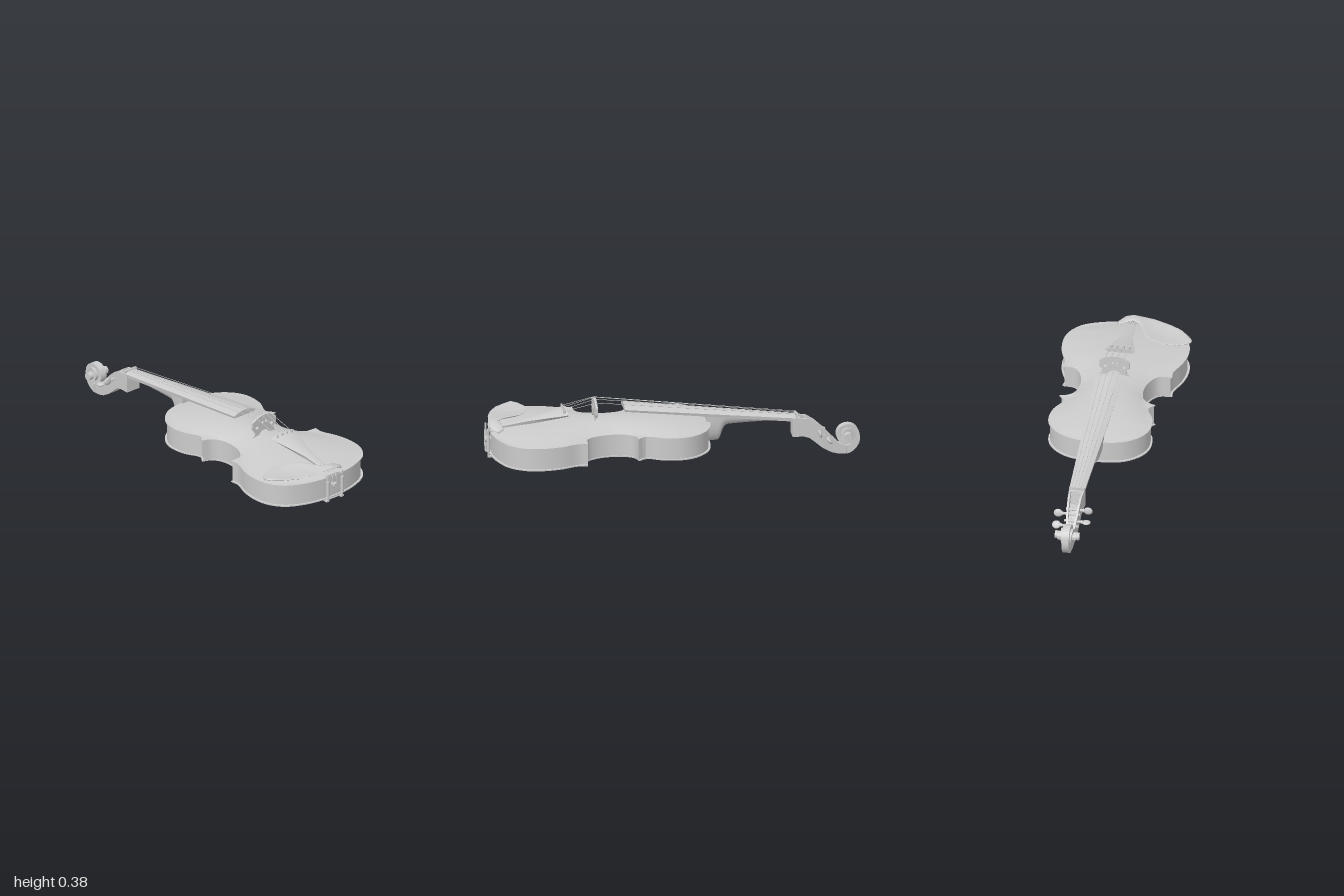
import * as THREE from 'three';
import { toCreasedNormals } from 'three/addons/utils/BufferGeometryUtils.js';

const material = new THREE.MeshStandardMaterial({ color: 0xcccccc, side: THREE.DoubleSide });
const V = (x, y, z) => new THREE.Vector3(x, y, z);

// Piecewise linear lookup in a table of [key, value], keys ascending
function at(table, k) {
  if (k <= table[0][0]) return table[0][1];
  for (let i = 1; i < table.length; i++) {
    const [k0, v0] = table[i - 1], [k1, v1] = table[i];
    if (k <= k1) return v0 + (v1 - v0) * (k - k0) / (k1 - k0);
  }
  return table[table.length - 1][1];
}

const steps = (a, b, n) => Array.from({ length: n + 1 }, (_, i) => a + (b - a) * i / n);

// Closed solid through a row of rings with equal point counts, facing outwards
function loft(rings, crease = 0.6) {
  const n = rings[0].length, points = rings.flat(), index = [];
  for (let i = 0; i < rings.length - 1; i++) for (let j = 0; j < n; j++) {
    const a = i * n + j, b = i * n + (j + 1) % n;
    index.push(a, b, a + n, b, b + n, a + n);
  }
  for (const end of [0, rings.length - 1]) {
    const mid = rings[end].reduce((s, p) => s.add(p), V(0, 0, 0)).divideScalar(n);
    const c = points.push(mid) - 1;
    for (let j = 0; j < n; j++) {
      const a = end * n + j, b = end * n + (j + 1) % n;
      index.push(...(end ? [c, a, b] : [c, b, a]));
    }
  }
  let volume = 0;
  for (let i = 0; i < index.length; i += 3) {
    const [a, b, c] = [0, 1, 2].map(k => points[index[i + k]]);
    volume += a.dot(b.clone().cross(c));
  }
  if (volume < 0) index.reverse();
  const g = new THREE.BufferGeometry().setFromPoints(points);
  g.setIndex(index);
  return toCreasedNormals(g, crease);
}

export function createModel() {
  const model = new THREE.Group();
  model.name = 'violin';
  const add = (name, geometry, parent = model) => {
    const mesh = new THREE.Mesh(geometry, material);
    mesh.name = name;
    parent.add(mesh);
    return mesh;
  };
  const box = (name, w, h, d, x, y, z) => add(name, new THREE.BoxGeometry(w, h, d).translate(x, y, z));
  const rod = (name, a, b, r, sides = 12, parent = model) => {
    const mesh = add(name, new THREE.CylinderGeometry(r, r, a.distanceTo(b), sides), parent);
    mesh.position.copy(a).lerp(b, 0.5);
    mesh.quaternion.setFromUnitVectors(V(0, 1, 0), b.clone().sub(a).normalize());
    return mesh;
  };

  // Half outline of the body: upper bout, waist, lower bout
  const bouts = [
    [[0, -0.202], [0.09, -0.195], [0.165, -0.172], [0.23, -0.12], [0.266, -0.06], [0.276, 0], [0.265, 0.08], [0.228, 0.165], [0.258, 0.21]],
    [[0.258, 0.21], [0.21, 0.228], [0.18, 0.27], [0.17, 0.34], [0.185, 0.42], [0.225, 0.48], [0.295, 0.49]],
    [[0.295, 0.49], [0.292, 0.54], [0.325, 0.63], [0.339, 0.73], [0.325, 0.82], [0.27, 0.9], [0.17, 0.95], [0.08, 0.97], [0, 0.975]],
  ];
  const outline = bouts.flatMap((pts, i) =>
    new THREE.CatmullRomCurve3(pts.map(([x, z]) => V(x, 0, z))).getPoints(24).slice(i ? 1 : 0));
  const smoothWidth = [[-0.2, 0.1], [-0.12, 0.22], [0, 0.27], [0.1, 0.245], [0.2, 0.205], [0.34, 0.165], [0.46, 0.2], [0.6, 0.295], [0.73, 0.335], [0.85, 0.31], [0.97, 0.1]];

  // Arched plates: a thin rim that swells towards the middle
  const plate = (rimY, rise, thickness) => loft(outline.map(p => {
    const width = Math.max(Math.min(p.x, at(smoothWidth, p.z)), 0.001);
    const long = Math.max(0, 1 - Math.abs((p.z - 0.385) / 0.59) ** 3);
    const ring = steps(-1, 1, 20).map(t => {
      const across = Math.max(0, 1 - (t * p.x / width) ** 2);
      return V(t * p.x, rimY + rise * long * across, p.z);
    });
    ring.push(V(p.x, rimY - thickness, p.z), V(-p.x, rimY - thickness, p.z));
    return ring;
  }));
  add('topPlate', plate(0.226, 0.042, 0.006));
  add('backPlate', plate(0.101, -0.026, -0.006));
  add('ribs', loft(outline.map(p => {
    const x = p.x * 0.965, z = 0.385 + (p.z - 0.385) * 0.983;
    return [V(-x, 0.104, z), V(-x, 0.223, z), V(x, 0.223, z), V(x, 0.104, z)];
  })));

  // Fingerboard with a rounded playing face
  const boardTop = z => 0.23 + (z + 0.66) * 0.125;
  const boardWidth = z => 0.042 + (z + 0.66) * 0.036;
  add('fingerboard', loft(steps(-0.66, 0.26, 8).map(z => {
    const w = boardWidth(z), y = boardTop(z);
    const ring = steps(-1, 1, 10).map(t => V(t * w, y - 0.25 * w * t * t, z));
    return [...ring, V(w * 0.95, y - 0.03, z), V(-w * 0.95, y - 0.03, z)];
  })));
  box('nut', 0.08, 0.018, 0.012, 0, 0.226, -0.664);

  // Neck with its heel
  const neckBottom = [[-0.645, 0.19], [-0.62, 0.2], [-0.5, 0.207], [-0.33, 0.2], [-0.29, 0.196], [-0.272, 0.18], [-0.262, 0.15], [-0.255, 0.12], [-0.245, 0.11], [-0.18, 0.106]];
  add('neck', loft(steps(-0.665, -0.18, 50).map(z => {
    const w = boardWidth(z) * 0.92, top = boardTop(z) - 0.018, h = top - at(neckBottom, z);
    return steps(0, Math.PI, 14).map(a => V(w * Math.cos(a), top - h * Math.sin(a) ** 0.8, z));
  }), 0.9));

  // Pegbox: a trough that closes at both ends
  const boxTop = [[-0.93, 0.045], [-0.89, 0.06], [-0.85, 0.1], [-0.8, 0.152], [-0.76, 0.188], [-0.72, 0.212], [-0.64, 0.222]];
  const boxBottom = [[-0.93, 0.001], [-0.89, 0.003], [-0.85, 0.015], [-0.8, 0.045], [-0.76, 0.08], [-0.73, 0.105], [-0.7, 0.115], [-0.64, 0.117]];
  const boxWidth = [[-0.93, 0.019], [-0.86, 0.024], [-0.8, 0.032], [-0.64, 0.043]];
  const trough = [[-0.86, 0], [-0.845, 0.045], [-0.76, 0.075], [-0.69, 0.075], [-0.68, 0]];
  add('pegbox', loft(steps(-0.93, -0.64, 58).map(z => {
    const w = at(boxWidth, z), t = at(boxTop, z), b = at(boxBottom, z), i = w - 0.011, f = t - at(trough, z);
    return [V(-w, b, z), V(-w, t, z), V(-i, t, z), V(-i, f, z), V(i, f, z), V(i, t, z), V(w, t, z), V(w, b, z)];
  })));

  // Scroll: a spiral band that widens towards the eye
  const spiralR = [[0, 0.105], [0.12, 0.082], [0.25, 0.066], [0.5, 0.06], [0.75, 0.058], [1, 0.05], [1.5, 0.04], [2, 0.03], [2.5, 0.022]];
  const spiralT = [[0, 0.045], [0.25, 0.026], [1, 0.02], [2.5, 0.016]];
  const spiralW = [[0, 0.019], [0.75, 0.02], [1.25, 0.028], [2, 0.044], [2.5, 0.058]];
  add('scroll', loft(steps(0, 2.5, 100).map(k => {
    const a = k * Math.PI * 2, r = at(spiralR, k), q = r - at(spiralT, k), w = at(spiralW, k);
    const p = (x, d) => V(x, 0.105 - d * Math.cos(a), -0.935 - d * Math.sin(a));
    return [p(-w, r), p(w, r), p(w, q), p(-w, q)];
  })));
  rod('scrollEye', V(-0.065, 0.105, -0.935), V(0.065, 0.105, -0.935), 0.021, 20);
  rod('scrollCore', V(-0.016, 0.105, -0.935), V(0.016, 0.105, -0.935), 0.045, 24);

  // Bridge with arched feet and cut-outs
  const bridge = new THREE.Shape();
  bridge.moveTo(-0.08, 0.252).lineTo(-0.04, 0.252);
  bridge.quadraticCurveTo(-0.035, 0.285, 0, 0.288).quadraticCurveTo(0.035, 0.285, 0.04, 0.252);
  bridge.lineTo(0.08, 0.252).lineTo(0.08, 0.262);
  bridge.quadraticCurveTo(0.056, 0.275, 0.066, 0.295).lineTo(0.082, 0.305).lineTo(0.08, 0.345);
  bridge.quadraticCurveTo(0, 0.405, -0.08, 0.345).lineTo(-0.082, 0.305).lineTo(-0.066, 0.295);
  bridge.quadraticCurveTo(-0.056, 0.275, -0.08, 0.262).closePath();
  for (const [x, y, rx, ry] of [[-0.011, 0.334, 0.008, 0.006], [0.011, 0.334, 0.008, 0.006], [-0.05, 0.312, 0.011, 0.008], [0.05, 0.312, 0.011, 0.008]])
    bridge.holes.push(new THREE.Path().absellipse(x, y, rx, ry, 0, Math.PI * 2, true));
  add('bridge', new THREE.ExtrudeGeometry(bridge, { depth: 0.012, bevelEnabled: false, curveSegments: 12 }).translate(0, 0, 0.405));

  // Tailpiece, its loop and the end button
  const tailWidth = [[0.562, 0.081], [0.6, 0.074], [0.7, 0.046], [0.77, 0.029], [0.85, 0.024], [0.92, 0.018]];
  const tailTop = z => at([[0.562, 0.326], [0.75, 0.283], [0.92, 0.25]], z);
  add('tailpiece', loft(steps(0.562, 0.92, 20).map(z => {
    const w = at(tailWidth, z), y = tailTop(z);
    const ring = steps(-1, 1, 8).map(t => V(t * w, y - 0.15 * w * t * t, z));
    return [...ring, V(w * 0.8, y - 0.024, z), V(-w * 0.8, y - 0.024, z)];
  })));
  for (const s of [-1, 1]) {
    const path = new THREE.CatmullRomCurve3([V(s * 0.012, 0.25, 0.9), V(s * 0.013, 0.246, 0.96), V(s * 0.013, 0.225, 0.98), V(s * 0.011, 0.175, 0.984)]);
    add('tailLoop', new THREE.TubeGeometry(path, 16, 0.003, 6));
  }
  rod('endButtonStem', V(0, 0.177, 0.95), V(0, 0.177, 0.99), 0.01);
  rod('endButton', V(0, 0.177, 0.985), V(0, 0.177, 0.998), 0.016, 20);
  box('saddle', 0.09, 0.014, 0.012, 0, 0.229, 0.966);

  // Chin rest: a shallow bowl with an arm reaching over the tailpiece
  const restBack = [[-0.338, 0.8], [-0.32, 0.775], [-0.27, 0.752], [-0.2, 0.745], [-0.13, 0.765], [-0.09, 0.8], [-0.06, 0.86], [-0.04, 0.9], [0, 0.925], [0.04, 0.91], [0.07, 0.905], [0.085, 0.93]];
  const restFront = [[-0.338, 0.82], [-0.32, 0.85], [-0.27, 0.9], [-0.2, 0.94], [-0.1, 0.967], [0, 0.978], [0.04, 0.978], [0.07, 0.962], [0.085, 0.938]];
  const restY = [[-0.338, 0.253], [-0.2, 0.252], [-0.1, 0.262], [-0.05, 0.27], [0, 0.272], [0.04, 0.262], [0.085, 0.238]];
  const bowl = [[-0.338, 0], [-0.25, 0.011], [-0.12, 0.012], [-0.04, 0]];
  add('chinRest', loft(steps(-0.338, 0.085, 48).map(x => {
    const b = at(restBack, x), f = at(restFront, x);
    return steps(0, Math.PI * 2, 20).slice(1).map(a => {
      const c = Math.cos(a);
      return V(x, at(restY, x) + 0.007 * Math.sin(a) + at(bowl, x) * (c * c - 0.4), (b + f) / 2 + (f - b) / 2 * c);
    });
  }), 1));

  // Chin rest clamps
  for (const x of [-0.05, 0.05]) {
    rod('clampRod', V(x, 0.096, 0.986), V(x, 0.25, 0.986), 0.0045);
    rod('clampBarrel', V(x, 0.122, 0.986), V(x, 0.21, 0.986), 0.009, 16);
    box('clampFoot', 0.02, 0.008, 0.04, x, 0.096, 0.97);
  }
  box('clampBar', 0.1, 0.005, 0.02, 0, 0.096, 0.965);

  // Strings, fine tuners and pegs
  const pegs = [[-1, 0.152, -0.755], [1, 0.14, -0.782], [-1, 0.115, -0.81], [1, 0.098, -0.832]];
  [-0.05, -0.017, 0.017, 0.05].forEach((x, i) => {
    const [side, py, pz] = pegs[i];
    const path = [
      V(x * 0.95, tailTop(0.585) + 0.004, 0.585), V(x, 0.376 - 4.5 * x * x, 0.411),
      V(x * 0.5, 0.238, -0.664), V(x * 0.3, py + 0.006, pz)];
    for (let k = 0; k < 3; k++) rod('string', path[k], path[k + 1], 0.0014, 6);
    rod('fineTuner', V(x, 0.31, 0.58), V(x, 0.333, 0.58), 0.006);

    const peg = new THREE.Group();
    peg.name = 'peg';
    model.add(peg);
    rod('pegShaft', V(-side * 0.04, py, pz), V(side * 0.07, py, pz), 0.007, 12, peg);
    rod('pegCollar', V(side * 0.05, py, pz), V(side * 0.058, py, pz), 0.01, 12, peg);
    const head = add('pegHead', new THREE.SphereGeometry(1, 16, 12).scale(0.024, 0.022, 0.009), peg);
    head.position.set(side * 0.078, py, pz);
    head.rotation.x = i === 2 ? Math.PI / 2 : 0.25 * i;
  });
  return model;
}
